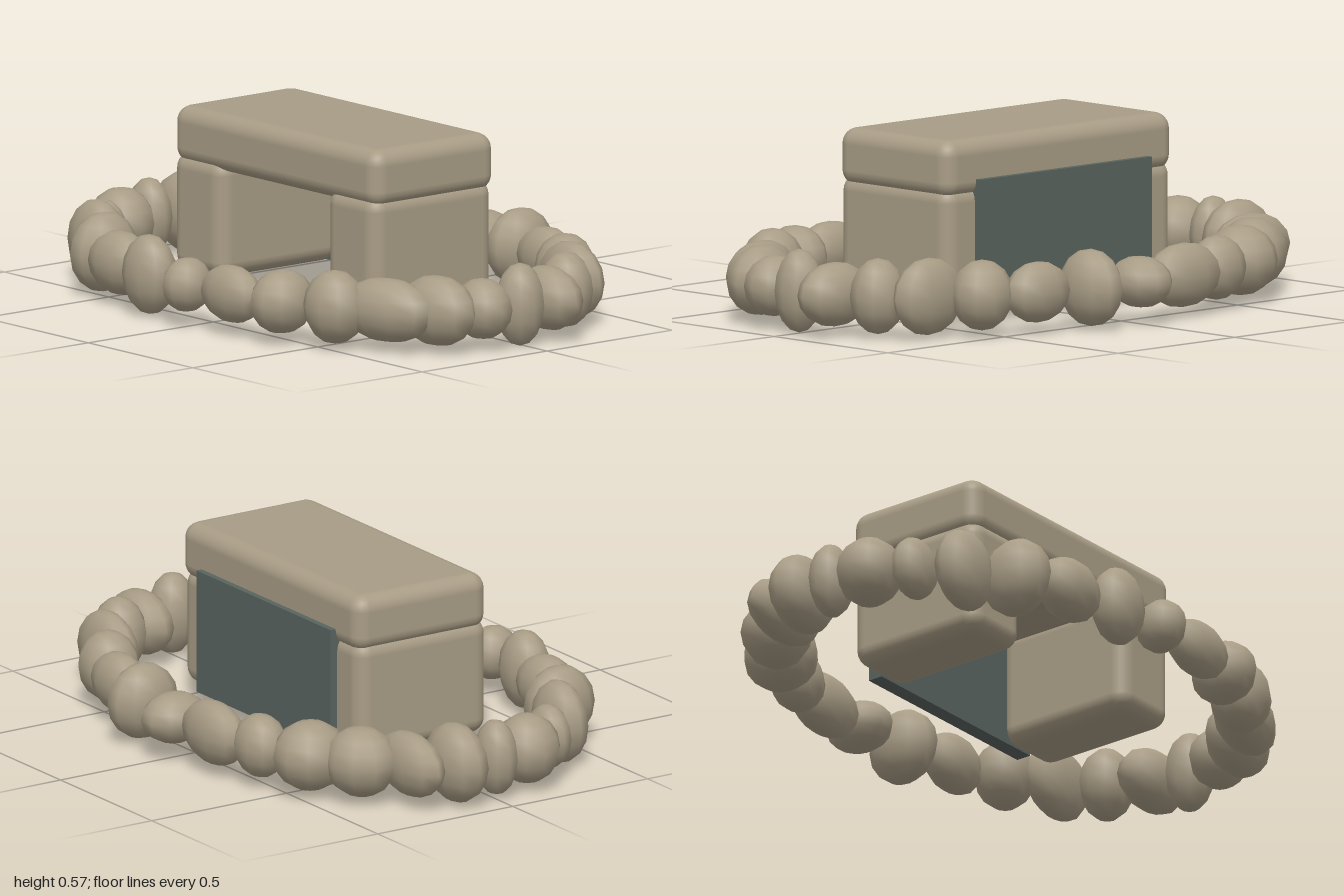
import * as THREE from 'three';
import { RoundedBoxGeometry } from 'three/addons/geometries/RoundedBoxGeometry.js';

export function createModel() {
  const model = new THREE.Group();
  model.name = 'stoneHearth';

  const stone = new THREE.MeshStandardMaterial({ color: 0xa89c85 });
  stone.name = 'warm stone';
  const slate = new THREE.MeshStandardMaterial({ color: 0x59645f });
  slate.name = 'dark slate';

  const add = (name, geometry, material, x, y, z, parent = model) => {
    const mesh = new THREE.Mesh(geometry, material);
    mesh.name = name;
    mesh.position.set(x, y, z);
    parent.add(mesh);
    return mesh;
  };

  // Two upright blocks carrying a lintel
  for (const [name, x] of [['leftPillar', 0.36], ['rightPillar', -0.375]]) {
    add(name, new RoundedBoxGeometry(0.24, 0.37, 0.485, 3, 0.05), stone, x, 0.25, 0.015);
  }
  add('lintel', new RoundedBoxGeometry(0.98, 0.18, 0.49, 3, 0.05), stone, -0.005, 0.49, 0.012);

  // Thin slab closing the back
  add('backSlab', new THREE.BoxGeometry(0.735, 0.39, 0.05), slate, -0.007, 0.26, -0.228);

  // Ring of boulders, starting at the left and going round by the front:
  // half width, half height, half depth, turn about y
  const boulders = [
    [0.075, 0.13, 0.08], [0.1, 0.095, 0.09], [0.14, 0.11, 0.09, 0.2], [0.165, 0.1, 0.085, 0.3],
    [0.105, 0.115, 0.095], [0.09, 0.1, 0.11], [0.13, 0.09, 0.065], [0.07, 0.085, 0.085],
    [0.1, 0.125, 0.075], [0.13, 0.1, 0.08], [0.085, 0.125, 0.12], [0.12, 0.13, 0.07],
    [0.09, 0.1, 0.06], [0.105, 0.11, 0.105], [0.08, 0.12, 0.065], [0.135, 0.125, 0.08],
    [0.16, 0.1, 0.07], [0.12, 0.11, 0.11, 0.4], [0.115, 0.11, 0.12], [0.1, 0.1, 0.08],
    [0.15, 0.1, 0.07], [0.09, 0.08, 0.112], [0.08, 0.12, 0.12], [0.125, 0.095, 0.07],
    [0.1, 0.11, 0.095], [0.14, 0.12, 0.065], [0.09, 0.118, 0.085], [0.14, 0.1, 0.08],
  ];
  const ring = new THREE.Group();
  ring.name = 'boulderRing';
  model.add(ring);
  const ball = new THREE.SphereGeometry(1, 10, 8);
  boulders.forEach(([w, h, d, turn = 0], i) => {
    const a = (i / boulders.length) * Math.PI * 2;
    const mesh = add('boulder' + (i + 1), ball, stone,
      -0.005 + 0.887 * Math.cos(a), 0.137, 0.01 + 0.59 * Math.sin(a), ring);
    mesh.scale.set(w, h, d);
    mesh.rotation.y = turn;
  });

  return model;
}
